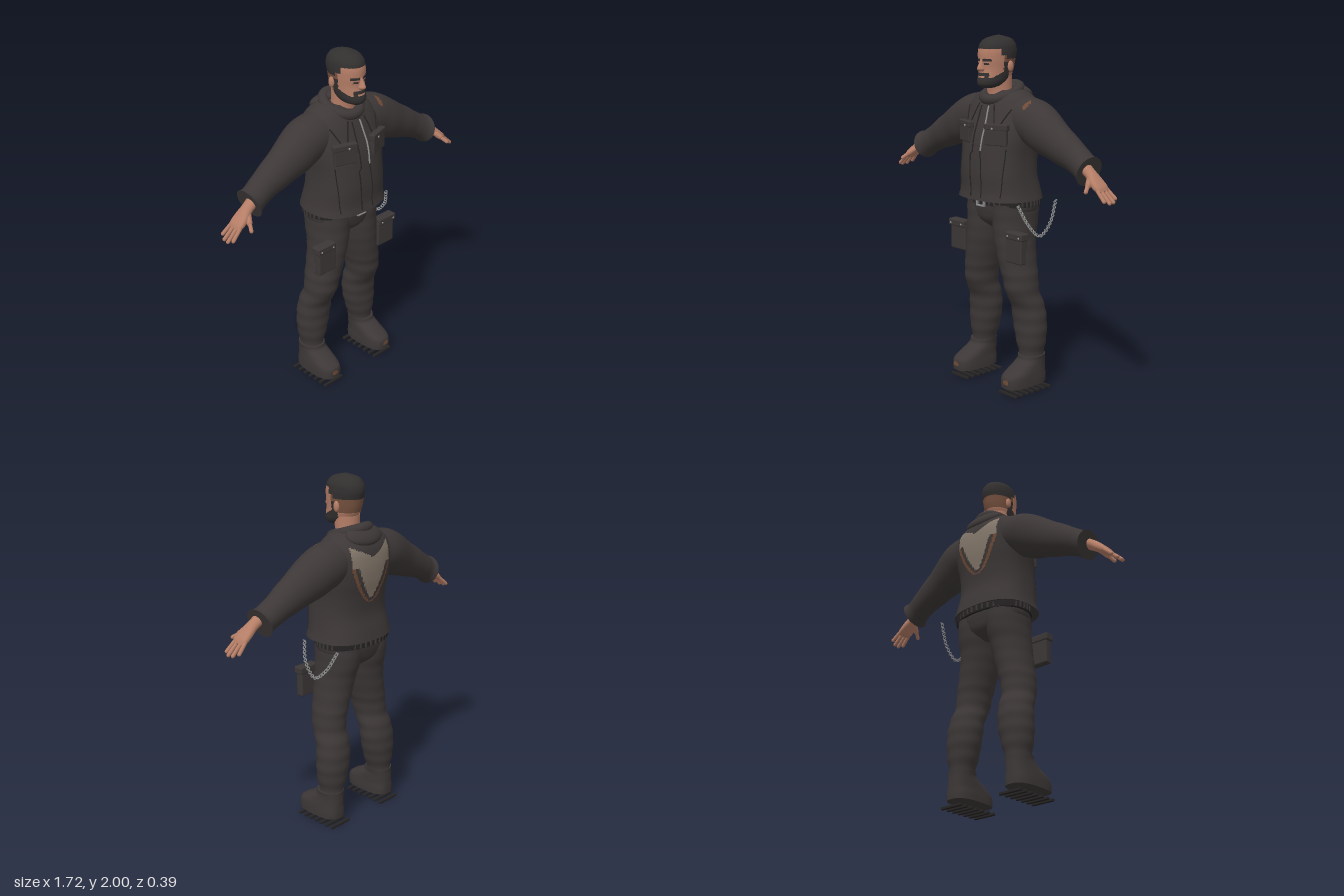
import * as THREE from 'three';
import { mergeVertices } from 'three/addons/utils/BufferGeometryUtils.js';
import { RoundedBoxGeometry } from 'three/addons/geometries/RoundedBoxGeometry.js';

const mat = (name, color) => Object.assign(new THREE.MeshStandardMaterial({ color }), { name });
const V3 = (x, y, z) => new THREE.Vector3(x, y, z);

// Key ring: centre x, y, z, tilt in degrees, radius across, radius along z, superellipse power
const flat = (y, z, rx, rz, e = 2, x = 0) => [x, y, z, 0, rx, rz, e];

// Smooth interpolation between key rings, measured by height travelled
function rings(keys) {
  const t = [0];
  for (let i = 1; i < keys.length; i++) t.push(t[i - 1] + Math.abs(keys[i][1] - keys[i - 1][1]));
  const curve = new THREE.CubicInterpolant(t, keys.flat(), 7, new Float32Array(7));
  return { end: t[t.length - 1], at: (s) => Array.from(curve.evaluate(s)) };
}

// Skin through key rings; pick(point) gives a material index for each face
function loft(keys, { n = 24, seg = 32, pick = () => 0, fold = () => 0 } = {}) {
  const r = rings(keys), pos = [], buckets = [];
  const ss = (c, e) => Math.sign(c) * Math.abs(c) ** (2 / e);
  for (let i = 0; i <= n; i++) {
    const [x, y, z, a, ru, rv, e] = r.at((r.end * i) / n);
    const k = 1 + fold(y), ang = THREE.MathUtils.degToRad(a);
    for (let j = 0; j < seg; j++) {
      const p = (j / seg) * Math.PI * 2;
      const u = ss(Math.cos(p), e) * ru * k, v = ss(Math.sin(p), e) * rv * k;
      pos.push(x + Math.cos(ang) * u, y + Math.sin(ang) * u, z + v);
    }
  }
  const tri = (...f) => {
    const c = [0, 1, 2].map((k) => (pos[f[0] * 3 + k] + pos[f[1] * 3 + k] + pos[f[2] * 3 + k]) / 3);
    (buckets[pick(...c)] ??= []).push(...f);
  };
  for (let i = 0; i < n; i++) for (let j = 0; j < seg; j++) {
    const a = i * seg + j, c = i * seg + ((j + 1) % seg);
    tri(a, a + seg, c);
    tri(c, a + seg, c + seg);
  }
  for (const i of [0, n]) { // end caps with their own corners
    const base = pos.length / 3, k = r.at((r.end * i) / n);
    pos.push(...pos.slice(i * seg * 3, (i + 1) * seg * 3), k[0], k[1], k[2]);
    for (let j = 0; j < seg; j++) {
      const a = base + j, b = base + ((j + 1) % seg);
      i ? tri(b, a, base + seg) : tri(a, b, base + seg);
    }
  }
  const g = new THREE.BufferGeometry();
  g.setAttribute('position', new THREE.Float32BufferAttribute(pos, 3));
  g.setIndex(buckets.flat());
  let start = 0;
  buckets.forEach((b, m) => { g.addGroup(start, b.length, m); start += b.length; });
  g.computeVertexNormals();
  return g;
}

function mirror(geo) {
  const g = geo.index ? geo.clone() : mergeVertices(geo);
  g.scale(-1, 1, 1);
  const ix = g.index.array;
  for (let i = 0; i < ix.length; i += 3) [ix[i], ix[i + 1]] = [ix[i + 1], ix[i]];
  return g;
}

const box = (w, h, d, x, y, z, ry = 0) =>
  new RoundedBoxGeometry(w, h, d, 2, Math.min(w, h, d) * 0.2).rotateY(ry).translate(x, y, z);
const ball = (r, sx, sy, sz, x, y, z) =>
  new THREE.SphereGeometry(r, 24, 16).scale(sx, sy, sz).translate(x, y, z);
function limb(p, q, r) {
  const d = q.clone().sub(p), g = new THREE.CapsuleGeometry(r, d.length() - r, 4, 10);
  g.applyQuaternion(new THREE.Quaternion().setFromUnitVectors(V3(0, 1, 0), d.clone().normalize()));
  return g.translate(...p.clone().add(q).multiplyScalar(0.5).toArray());
}

export function createModel() {
  const root = new THREE.Group();
  root.name = 'figure';
  const cloth = mat('dark cloth', 0x3d3737), skin = mat('skin', 0xb47d66), hair = mat('hair', 0x322f2f);
  const fade = mat('short stubble', 0x77523f), metal = mat('steel', 0x8c8c8c), leather = mat('black leather', 0x262323);
  const rust = mat('worn brown', 0x6e4a35), patch = mat('patch taupe', 0x83776a);
  const add = (name, geo, m) => {
    const mesh = new THREE.Mesh(geo, m);
    mesh.name = name;
    root.add(mesh);
  };
  const pair = (name, geo, m, rightM = m) => {
    add(name + 'Left', geo, m);
    add(name + 'Right', mirror(geo), rightM);
  };

  // Jacket body, with a plain shield patch on the back and a worn spot on one shoulder
  const torso = [
    flat(1.105, 0.005, 0.245, 0.197, 2.5), flat(1.15, 0.006, 0.234, 0.188, 2.5), flat(1.25, 0.018, 0.222, 0.177, 2.5),
    flat(1.35, 0.012, 0.22, 0.175, 2.5), flat(1.45, -0.003, 0.232, 0.175, 2.5), flat(1.55, -0.022, 0.24, 0.16, 2.4),
    flat(1.62, -0.03, 0.225, 0.142, 2.3), flat(1.67, -0.03, 0.185, 0.115, 2.2), flat(1.705, -0.03, 0.12, 0.09)];
  const worn = (x, y, z) => z > 0 && Math.hypot((x - 0.243) / 0.016, (y - 1.638) / 0.02) < 1;
  add('jacketBody', loft(torso, { n: 100, seg: 120, pick: (x, y, z) => {
    if (worn(x, y, z)) return 2;
    const ax = Math.abs(x), top = 1.575 + 0.5 * ax;
    if (z > -0.05 || y < 1.32 || y > top) return 0;
    const rim = 0.145 * Math.min(1, Math.sqrt((y - 1.32) / 0.2)) - ax;
    if (rim < 0) return 0;
    if (y < 1.53 && rim < 0.02) return 2;
    return y < 1.53 && rim < 0.045 ? 0 : 1;
  } }), [cloth, patch, rust]);

  // Points on the jacket front, used by seams and zip
  const surf = rings(torso);
  const chest = (x, y, lift = 0) => {
    const [, , z, , rx, rz, e] = surf.at(y - torso[0][1]);
    return V3(x, y, z + rz * (1 - Math.abs(x / rx) ** e) ** (1 / e) + lift);
  };
  const seam = (name, pts, r, m) => {
    const c = [];
    for (let i = 0; i < pts.length - 1; i++) for (let k = 0; k < 8; k++) {
      const f = k / 8, [a, b] = [pts[i], pts[i + 1]];
      c.push(chest(a[0] + (b[0] - a[0]) * f, a[1] + (b[1] - a[1]) * f, 0.001));
    }
    c.push(chest(...pts[pts.length - 1], 0.001));
    add(name, new THREE.TubeGeometry(new THREE.CatmullRomCurve3(c), 40, r, 6), m);
  };
  seam('zip', [[0.022, 1.62], [0.035, 1.5], [0.03, 1.38]], 0.005, metal);
  seam('lowerZip', [[0.03, 1.38], [0.045, 1.25], [0.045, 1.12]], 0.003, leather);
  seam('placket', [[-0.035, 1.62], [-0.035, 1.37], [-0.05, 1.36], [-0.035, 1.12]], 0.004, leather);
  for (const s of [1, -1]) {
    seam('lapelSeam', [[s * 0.06, 1.63], [s * 0.11, 1.48]], 0.004, leather);
    seam('lapelEdge', [[s * 0.17, 1.61], [s * 0.11, 1.48]], 0.004, leather);
    seam('sideSeam', [[s * 0.18, 1.4], [s * 0.165, 1.13]], 0.003, leather);
  }
  pair('chestPocket', box(0.135, 0.1, 0.03, 0.123, 1.465, 0.15, 0.32), cloth);
  pair('chestPocketFlap', box(0.142, 0.035, 0.036, 0.124, 1.515, 0.148, 0.32), cloth);
  pair('pocketSnap', ball(0.007, 1, 1, 0.6, 0.11, 1.507, 0.172), metal);

  // Collar and hood lying on the back
  const collar = [];
  for (let i = 0; i < 24; i++) {
    const a = (i / 24) * Math.PI * 2, s = Math.sin(a);
    collar.push(V3(Math.cos(a) * 0.095, 1.687 - 0.035 * s, -0.005 + 0.1 * s));
  }
  add('collar', new THREE.TubeGeometry(new THREE.CatmullRomCurve3(collar, true), 64, 0.03, 12, true), cloth);
  add('hood', new THREE.SphereGeometry(1, 32, 20).scale(0.125, 0.04, 0.075).rotateX(-0.6).translate(0, 1.685, -0.105), cloth);

  // Sleeves with flared cuffs
  const sleeve = loft([
    [0.12, 1.57, -0.03, -108, 0.115, 0.115, 2], [0.24, 1.535, -0.03, -115, 0.127, 0.122, 2], [0.36, 1.475, -0.02, -120, 0.115, 0.105, 2],
    [0.48, 1.42, -0.015, -120, 0.094, 0.086, 2], [0.58, 1.372, -0.012, -117, 0.078, 0.076, 2],
    [0.645, 1.337, -0.003, -112, 0.074, 0.077, 2], [0.668, 1.325, 0, -108, 0.082, 0.092, 2]],
  { n: 60, seg: 48, pick: (...p) => (worn(...p) ? 1 : 0), fold: (y) => 0.012 * Math.sin(y * 90) });
  pair('sleeve', sleeve, [cloth, rust], [cloth, cloth]);

  // Hands
  pair('palm', loft([
    [0.65, 1.345, 0.015, -129, 0.032, 0.037, 2], [0.7, 1.315, 0.02, -129, 0.028, 0.035, 2],
    [0.745, 1.28, 0.026, -129, 0.023, 0.046, 2.5], [0.785, 1.248, 0.027, -129, 0.016, 0.045, 2.5], [0.797, 1.238, 0.027, -129, 0.008, 0.036, 2]],
  { n: 20, seg: 24 }), skin);
  [[-0.01, -0.022, 0.836, 1.2], [0.014, 0.01, 0.852, 1.187], [0.039, 0.042, 0.855, 1.185], [0.061, 0.07, 0.842, 1.195]].forEach(([z0, z1, x, y], i) =>
    pair('finger' + (i + 1), limb(V3(0.775, 1.255, z0), V3(x, y, z1), 0.0105), skin));
  pair('thumbBase', limb(V3(0.71, 1.3, 0.04), V3(0.74, 1.265, 0.085), 0.016), skin);
  pair('thumb', limb(V3(0.735, 1.27, 0.08), V3(0.757, 1.24, 0.12), 0.011), skin);

  // Neck and head: cropped hair, stubble at the sides, beard, brows and eyes
  add('neck', loft([flat(1.6, 0, 0.085, 0.08), flat(1.69, 0.012, 0.07, 0.068), flat(1.78, 0.02, 0.07, 0.075)], { n: 8 }), skin);
  add('head', loft([
    flat(1.718, 0.095, 0.03, 0.04), flat(1.73, 0.085, 0.055, 0.068), flat(1.75, 0.068, 0.07, 0.092), flat(1.78, 0.05, 0.077, 0.103),
    flat(1.82, 0.038, 0.082, 0.108), flat(1.87, 0.034, 0.087, 0.115), flat(1.92, 0.028, 0.089, 0.119), flat(1.96, 0.027, 0.08, 0.105),
    flat(1.985, 0.025, 0.055, 0.073), flat(2, 0.025, 0.012, 0.016)],
  { n: 90, seg: 96, pick: (x, y, z) => {
    const ax = Math.abs(x);
    if (y > (z > 0.075 ? 1.93 : z > 0.04 ? 1.895 : 1.875)) return 1;
    if (z > 0.1 && ax > 0.012 && ax < 0.056 && (Math.abs(y - 1.869) < 0.007 || (ax > 0.02 && ax < 0.045 && Math.abs(y - 1.849) < 0.005))) return 1;
    if (z > 0.1 && ax < 0.026 && Math.abs(y - 1.779) < 0.005) return 0;
    if (z > 0.1 && ax < 0.045 && y < 1.801) return 1;
    if (z > 0.015 && y < 1.775 + Math.max(0, 0.12 - z) * 0.5) return 1;
    if (z > 0.025 && z < 0.055 && y < 1.86) return 1;
    return z < 0.055 && y > 1.8 ? 2 : 0;
  } }), [skin, hair, fade]);
  add('nose', loft([flat(1.808, 0.142, 0.014, 0.018), flat(1.82, 0.145, 0.02, 0.03), flat(1.832, 0.145, 0.016, 0.028),
    flat(1.853, 0.143, 0.011, 0.017), flat(1.875, 0.14, 0.009, 0.008)], { n: 14, seg: 20 }), skin);
  pair('ear', ball(1, 0.013, 0.03, 0.019, 0.088, 1.835, 0.012), skin);

  // Trousers
  add('hips', loft([flat(0.93, -0.01, 0.06, 0.07), flat(0.97, -0.012, 0.15, 0.125), flat(1.03, -0.013, 0.212, 0.148, 2.3), flat(1.12, -0.015, 0.222, 0.155, 2.3)]), cloth);
  pair('trouserLeg', loft([
    flat(0.15, -0.05, 0.064, 0.07, 2, 0.205), flat(0.22, -0.05, 0.07, 0.073, 2, 0.2), flat(0.3, -0.05, 0.09, 0.085, 2, 0.195),
    flat(0.4, -0.05, 0.103, 0.091, 2, 0.186), flat(0.5, -0.038, 0.1, 0.092, 2, 0.178), flat(0.58, -0.005, 0.091, 0.1, 2, 0.17),
    flat(0.65, 0.001, 0.095, 0.106, 2, 0.162), flat(0.75, 0.004, 0.1, 0.115, 2, 0.14), flat(0.88, 0.002, 0.108, 0.128, 2, 0.115),
    flat(0.98, -0.01, 0.113, 0.143, 2, 0.105), flat(1.08, -0.012, 0.113, 0.15, 2, 0.102)],
  { n: 80, seg: 40, fold: (y) => (y < 0.7 ? 0.018 : 0.006) * Math.sin(y * 75) }), cloth);

  // Boots with worn toes, and tread bars below
  pair('boot', loft([
    flat(0.048, 0.02, 0.077, 0.145, 2.8, 0.208), flat(0.08, 0.02, 0.077, 0.146, 2.8, 0.208), flat(0.115, 0.016, 0.075, 0.141, 2.6, 0.208),
    flat(0.15, -0.013, 0.072, 0.112, 2.4, 0.206), flat(0.185, -0.042, 0.07, 0.083, 2.2, 0.205), flat(0.21, -0.047, 0.074, 0.08, 2, 0.204)],
  { n: 40, seg: 56, pick: (x, y, z) => (z > 0.08 && Math.hypot((x - 0.215) / 0.022, (y - 0.085) / 0.014) < 1 ? 1 : 0) }), [cloth, rust]);
  for (let i = 0; i < 7; i++) pair('treadBar' + (i + 1), box(0.145, 0.015, 0.018, 0.207, 0.0075, 0.138 - i * 0.0435), leather);

  // Belt with ribs and buckle
  add('belt', loft([flat(1.07, -0.018, 0.234, 0.162, 2.3), flat(1.09, -0.018, 0.236, 0.164, 2.3), flat(1.112, -0.018, 0.236, 0.164, 2.3)], { n: 4, seg: 64 }), leather);
  for (let i = 0; i < 40; i++) {
    const a = ((i + 0.5) / 40) * Math.PI * 2;
    add('beltRib', box(0.012, 0.036, 0.012, Math.sin(a) * 0.236, 1.09, -0.018 + Math.cos(a) * 0.165, a), cloth);
  }
  for (const s of [1, -1]) {
    add('buckleBar', box(0.062, 0.008, 0.014, 0, 1.087 + s * 0.02, 0.156), metal);
    add('buckleSide', box(0.008, 0.046, 0.014, s * 0.028, 1.087, 0.156), metal);
  }

  // Thigh pouches
  pair('pouch', box(0.125, 0.15, 0.045, 0.233, 0.845, 0.105), cloth);
  pair('pouchFlap', box(0.132, 0.042, 0.058, 0.239, 0.925, 0.106), cloth);
  for (const x of [0.195, 0.283]) pair('pouchStud', ball(0.006, 1, 1, 0.6, x, 0.922, 0.136), metal);

  // Hanging chain on the left hip
  const path = new THREE.CatmullRomCurve3([V3(0.25, 1.09, 0.105), V3(0.283, 0.99, 0.065), V3(0.295, 0.915, -0.015), V3(0.29, 0.975, -0.1), V3(0.268, 1.09, -0.165)]);
  for (let i = 0; i <= 38; i++) {
    const g = new THREE.TorusGeometry(0.0085, 0.003, 6, 10).rotateY(Math.PI / 2).rotateZ(i % 2 ? 0.8 : -0.8);
    add('chainLink', g.translate(...path.getPointAt(i / 38).toArray()), metal);
  }
  return root;
}
